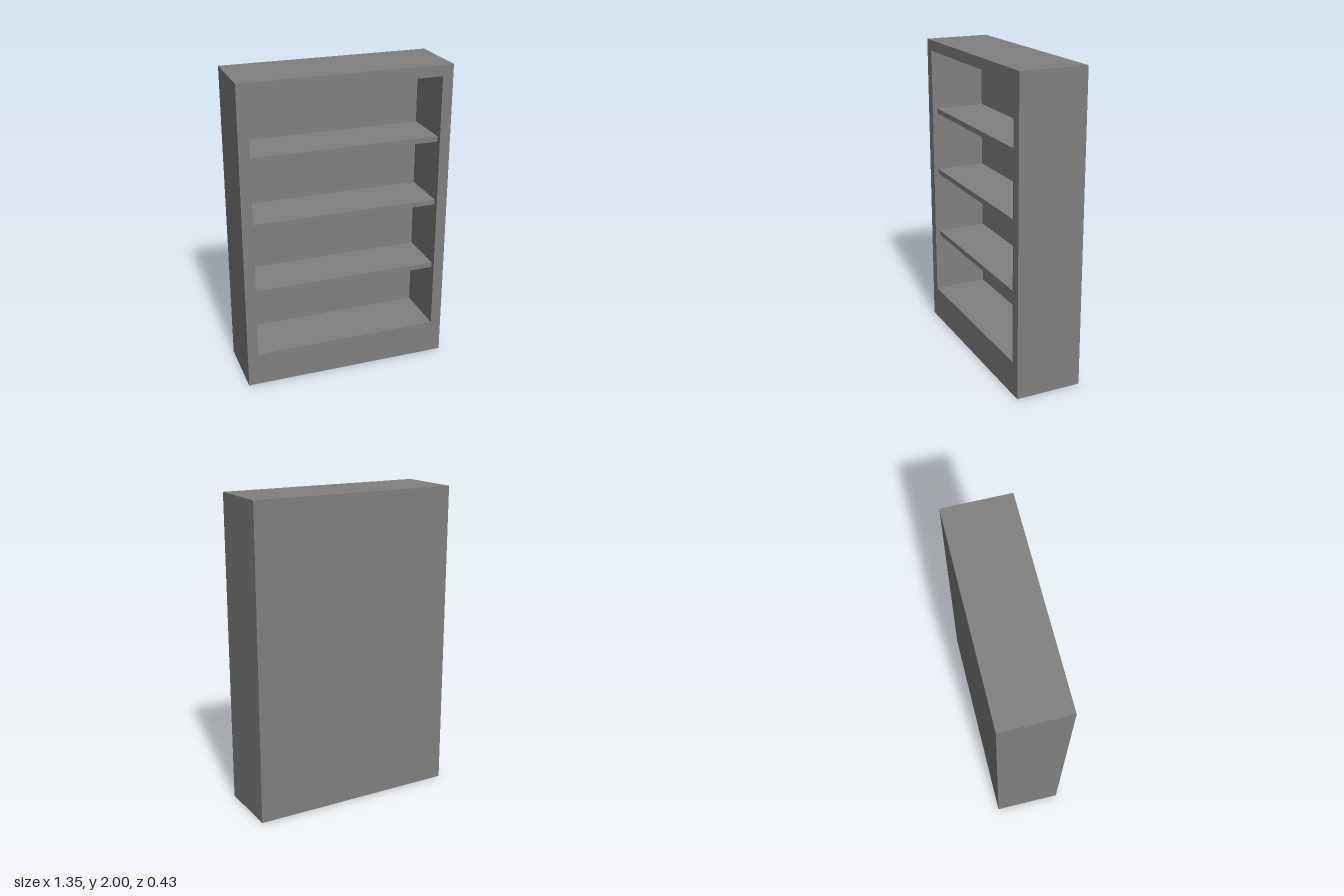
import * as THREE from 'three';

const W = 1.35, H = 2, D = 0.43;          // overall size
const INNER_X = 0.606;                    // half width of the opening
const BOTTOM = 0.22, TOP = 1.93;          // opening heights
const BACK = 0.067;                       // back panel thickness
const SHELF_RECESS = 0.032;               // shelves sit behind the front face
const SHELF_THICKNESS = 0.034;

export function createModel() {
  const group = new THREE.Group();
  group.name = 'bookcase';
  const material = new THREE.MeshStandardMaterial({ color: 0x808080 });

  const add = (name, geometry, x, y, z) => {
    const mesh = new THREE.Mesh(geometry, material);
    mesh.name = name;
    mesh.position.set(x, y, z);
    group.add(mesh);
  };

  const rectangle = (Type, x, y0, y1) => new Type([
    new THREE.Vector2(-x, y0), new THREE.Vector2(x, y0),
    new THREE.Vector2(x, y1), new THREE.Vector2(-x, y1),
  ]);

  // Surround: sides, top and tall plinth in one piece
  const outline = rectangle(THREE.Shape, W / 2, 0, H);
  outline.holes.push(rectangle(THREE.Path, INNER_X, BOTTOM, TOP));
  const frame = new THREE.ExtrudeGeometry(outline, { depth: D - BACK, bevelEnabled: false });
  add('frame', frame, 0, 0, -D / 2 + BACK);

  // Closed back
  add('backPanel', new THREE.BoxGeometry(W, H, BACK), 0, H / 2, -D / 2 + BACK / 2);

  // Three shelves, placed by their centre heights
  const shelfDepth = D - BACK - SHELF_RECESS;
  [0.642, 1.095, 1.522].forEach((y, i) => {
    add(`shelf${i + 1}`, new THREE.BoxGeometry(INNER_X * 2, SHELF_THICKNESS, shelfDepth),
      0, y, -D / 2 + BACK + shelfDepth / 2);
  });

  return group;
}
